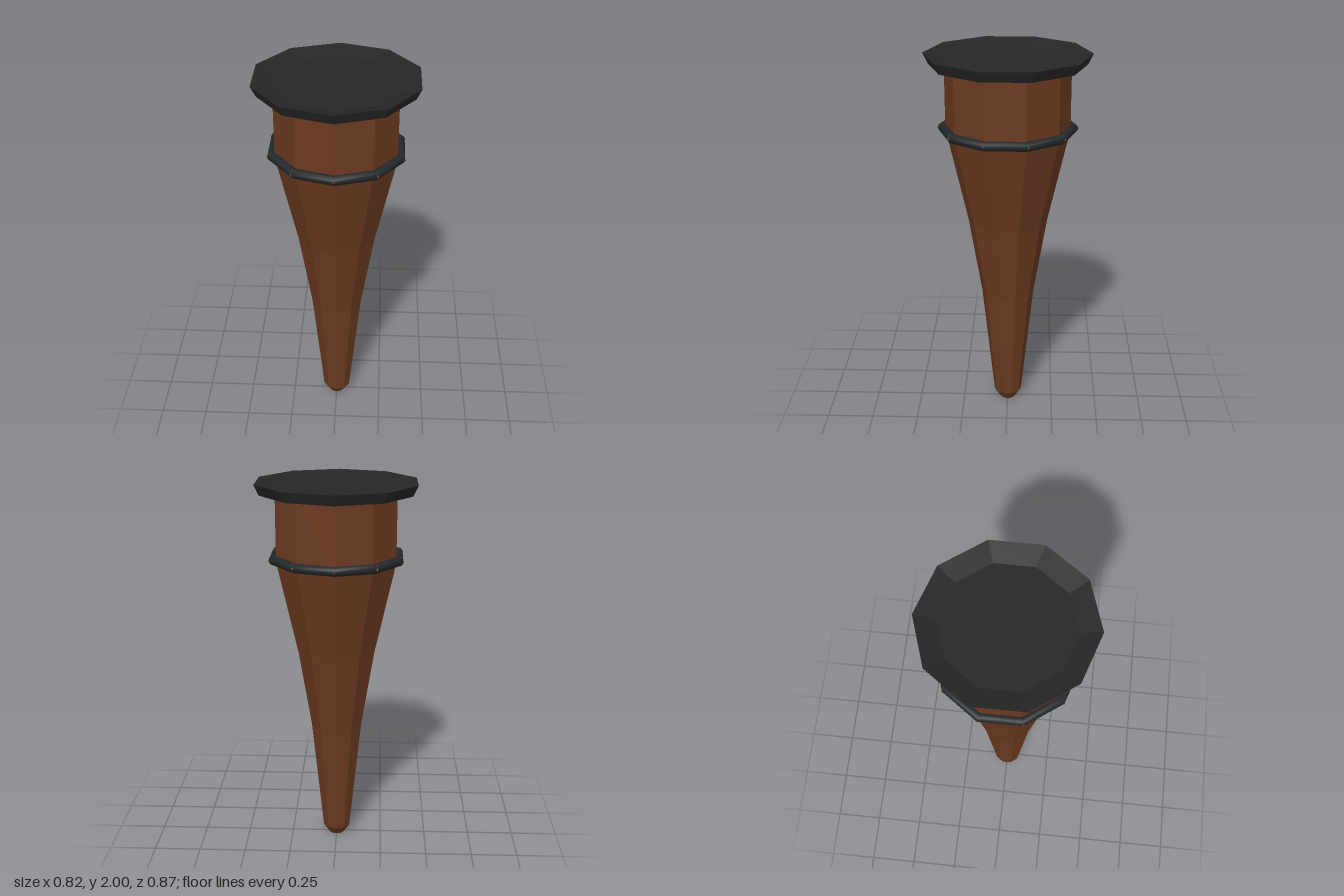
import * as THREE from 'three';

const SIDES = 10;
const wood = new THREE.MeshStandardMaterial({ color: 0x6b3a20, flatShading: true });
const capDark = new THREE.MeshStandardMaterial({ color: 0x262626, flatShading: true });
const ringDark = new THREE.MeshStandardMaterial({ color: 0x24282a });

// Ten-sided turned part with a corner facing +z; profile runs bottom to top
function turned(name, profile, material) {
  const points = profile.map(([r, y]) => new THREE.Vector2(r, y));
  const mesh = new THREE.Mesh(new THREE.LatheGeometry(points, SIDES), material);
  mesh.name = name;
  return mesh;
}

export function createModel() {
  const model = new THREE.Group();
  model.name = 'taperedLeg';

  // Faceted wooden shaft: straight collar above a long taper
  model.add(turned('shaft', [
    [0, 0], [0.042, 0], [0.076, 0.05], [0.142, 0.68], [0.212, 1.1],
    [0.325, 1.6], [0.325, 1.95], [0, 1.95],
  ], wood));

  // Flared cap with a shallow dished top
  model.add(turned('cap', [
    [0, 1.945], [0.406, 1.945], [0.433, 2], [0.325, 1.97], [0, 1.97],
  ], capDark));

  // Ten-sided band around the collar
  const bandGeometry = new THREE.TorusGeometry(0.338, 0.025, 12, SIDES);
  bandGeometry.rotateX(Math.PI / 2).rotateY(Math.PI / 2);
  const band = new THREE.Mesh(bandGeometry, ringDark);
  band.name = 'band';
  band.position.y = 1.61;
  model.add(band);

  // Small wooden studs on the corners of the band
  const studs = new THREE.Group();
  studs.name = 'studs';
  const studGeometry = new THREE.OctahedronGeometry(1).scale(0.016, 0.024, 0.016);
  for (let i = 0; i < SIDES; i++) {
    const a = (i / SIDES) * Math.PI * 2;
    const stud = new THREE.Mesh(studGeometry, wood);
    stud.name = 'stud';
    stud.position.set(Math.sin(a) * 0.351, 1.61, Math.cos(a) * 0.351);
    stud.rotation.y = a;
    studs.add(stud);
  }
  model.add(studs);

  return model;
}
